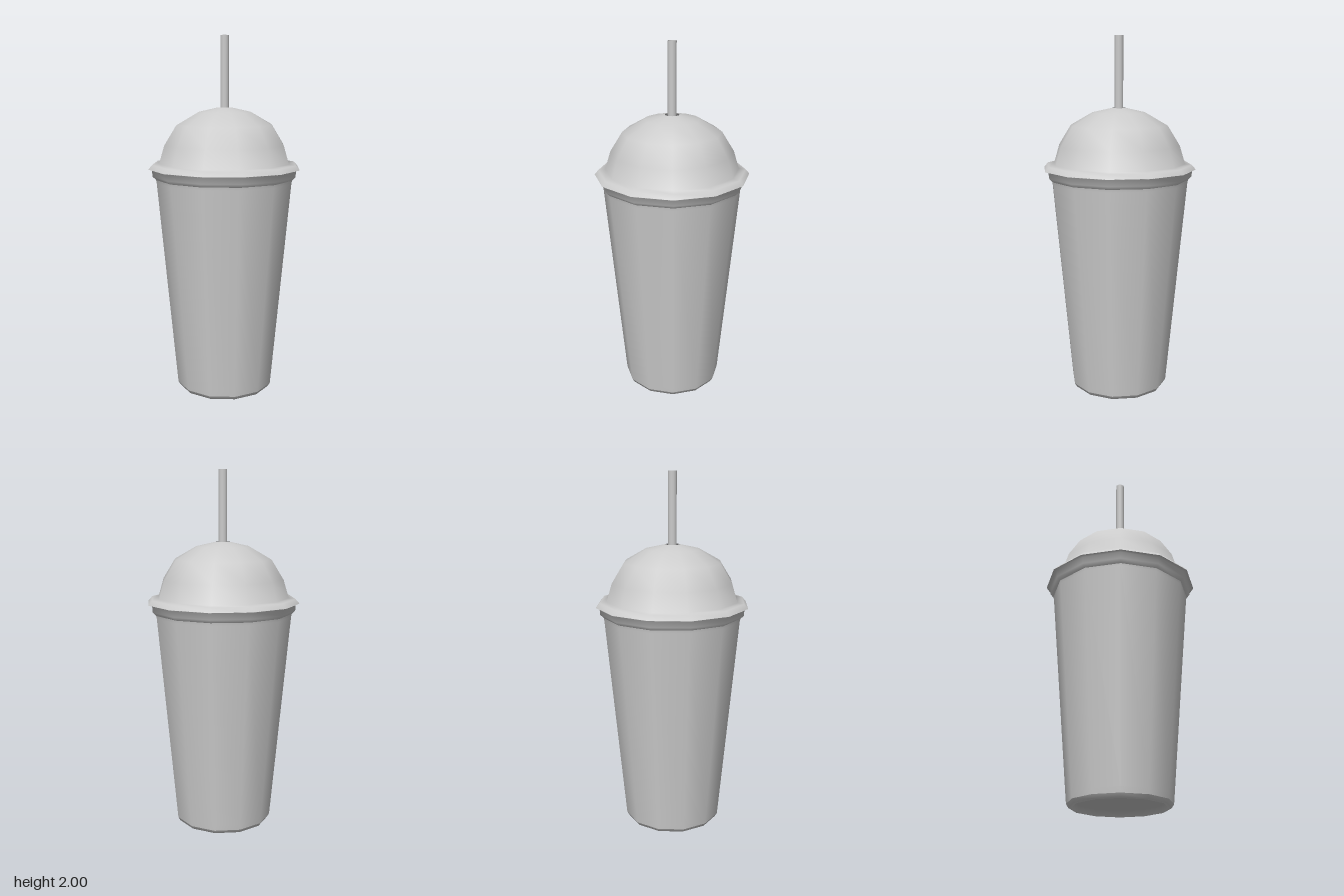
import * as THREE from 'three';

const SIDES = 12;
const material = new THREE.MeshStandardMaterial({ color: 0xcccccc, side: THREE.DoubleSide });

// Revolve a [radius, height] profile, listed upwards along the outside
function turned(name, profile) {
  const points = profile.map(([r, y]) => new THREE.Vector2(r, y));
  const mesh = new THREE.Mesh(new THREE.LatheGeometry(points, SIDES), material);
  mesh.name = name;
  return mesh;
}

export function createModel() {
  const group = new THREE.Group();
  group.name = 'lidded cup';

  // Recessed base
  group.add(turned('cupBase', [[0, 0.03], [0.24, 0.03], [0.25, 0], [0.265, 0], [0.277, 0.02]]));

  // Tapered cup wall
  group.add(turned('cup', [[0.277, 0.02], [0.28, 0.05], [0.385, 1.2], [0.39, 1.225]]));

  // Skirt of the lid gripping the cup
  group.add(turned('lidSkirt', [[0.387, 1.215], [0.407, 1.235], [0.41, 1.272], [0.43, 1.274]]));

  // Flange sweeping up into the dome, open at the top for the straw
  group.add(turned('lidDome', [
    [0.43, 1.275], [0.408, 1.3], [0.37, 1.305], [0.34, 1.405],
    [0.272, 1.515], [0.15, 1.585], [0.04, 1.61],
  ]));

  // Straw standing in the cup
  const straw = new THREE.Mesh(
    new THREE.CylinderGeometry(0.024, 0.024, 1.95, SIDES, 1, true), material);
  straw.name = 'straw';
  straw.position.y = 1.025;
  group.add(straw);

  return group;
}
